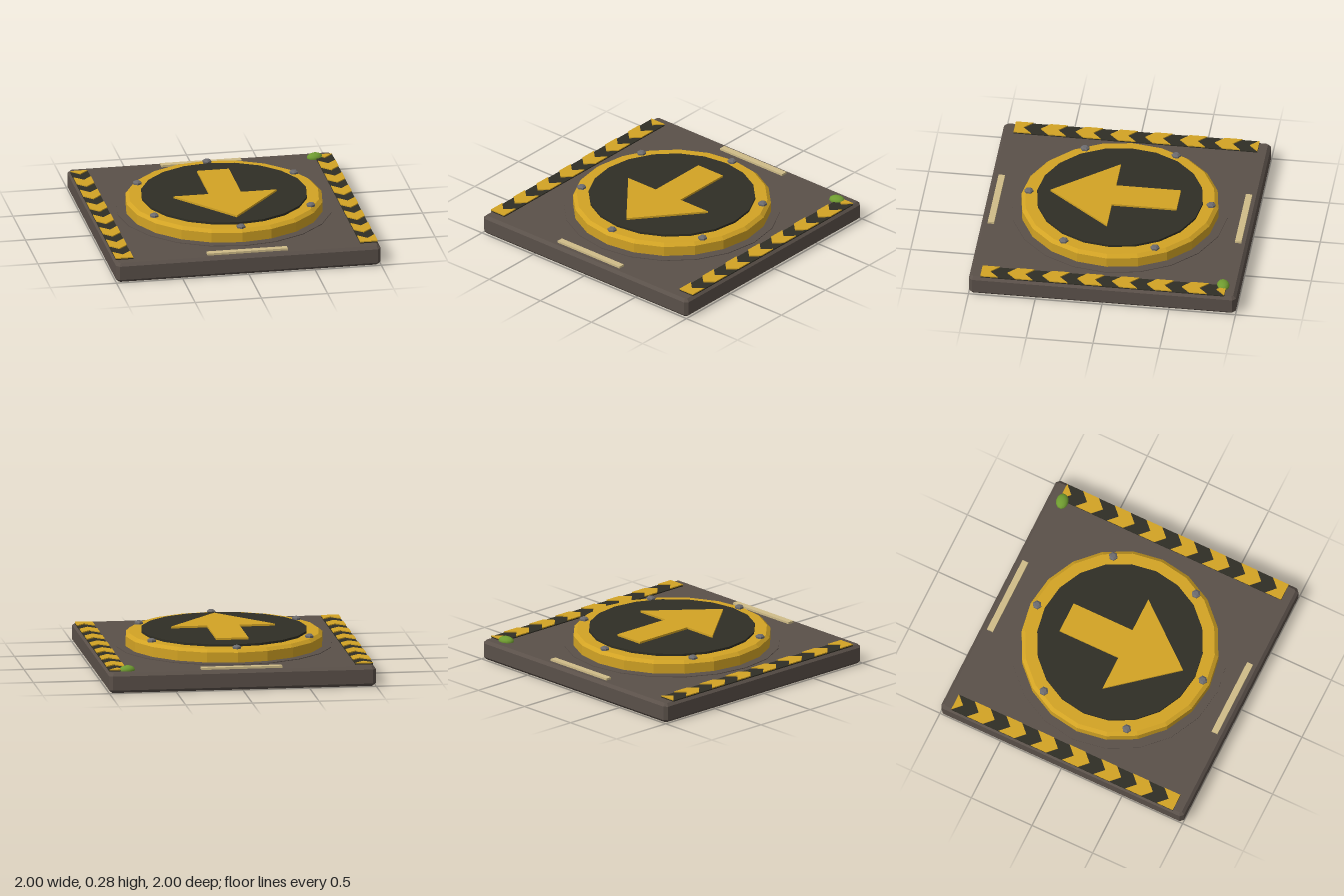
import * as THREE from 'three';

const paint = (name, color) => {
  const m = new THREE.MeshStandardMaterial({ color });
  m.name = name;
  return m;
};

export function createModel() {
  const stone = paint('brown stone', 0x5a5049);
  const yellow = paint('warning yellow', 0xd2a324);
  const dark = paint('dark rubber', 0x2f2e25);
  const steel = paint('bolt steel', 0x6c6b6e);
  const cream = paint('cream plate', 0xcfbc88);
  const green = paint('moss green', 0x6f9c30);

  const model = new THREE.Group();
  model.name = 'launchPad';

  const add = (name, geo, mat, x = 0, y = 0, z = 0) => {
    const mesh = new THREE.Mesh(geo, mat);
    mesh.name = name;
    mesh.position.set(x, y, z);
    model.add(mesh);
    return mesh;
  };
  // faceted normals
  const facet = (geo) => {
    const g = geo.index ? geo.toNonIndexed() : geo;
    g.computeVertexNormals();
    return g;
  };
  const disc = (rTop, rBottom, h, sides) => facet(new THREE.CylinderGeometry(rTop, rBottom, h, sides));
  // flat plate from [x, z] outline, bottom at y = 0
  const plate = (points, depth, bevel = 0) => {
    const shape = new THREE.Shape(points.map(([x, z]) => new THREE.Vector2(x, -z)));
    const geo = new THREE.ExtrudeGeometry(shape, {
      depth: depth - 2 * bevel, bevelEnabled: bevel > 0,
      bevelThickness: bevel, bevelSize: bevel, bevelSegments: 1,
    });
    return geo.rotateX(-Math.PI / 2).translate(0, bevel, 0);
  };

  // Base slab with chamfered edges and corners
  const b = 0.022, e = 1 - b, c = e - 0.012;
  add('baseSlab', plate([
    [-c, -e], [c, -e], [e, -c], [e, c], [c, e], [-c, e], [-e, c], [-e, -c],
  ], 0.15, b), stone);

  // Raised dais: low collar, yellow ring with chamfered rim, dark pad
  add('collar', disc(0.805, 0.805, 0.006, 20), stone, 0, 0.152, 0);
  add('ringWall', disc(0.737, 0.737, 0.08, 20), yellow, 0, 0.19, 0);
  add('ringRim', disc(0.71, 0.737, 0.023, 20), yellow, 0, 0.2415, 0);
  add('pad', disc(0.62, 0.62, 0.018, 20), dark, 0, 0.261, 0);

  // Arrow pointing to the front
  add('arrow', plate([
    [-0.12, -0.44], [0.12, -0.44], [0.12, 0.045], [0.39, 0.045],
    [0, 0.52], [-0.39, 0.045], [-0.12, 0.045],
  ], 0.015), yellow, 0, 0.27, 0);

  // Six hexagonal bolts on the rim
  for (let i = 0; i < 6; i++) {
    const a = (i * Math.PI) / 3;
    const x = 0.683 * Math.sin(a), z = 0.683 * Math.cos(a);
    add('bolt', disc(0.034, 0.034, 0.014, 6), steel, x, 0.259, z);
    add('boltHead', disc(0.018, 0.034, 0.011, 6), steel, x, 0.2715, z);
  }

  // Hazard strips: dark plate with yellow chevrons, closed by a flat end
  const L = 0.913, w = 0.066, step = (2 * L) / 14, tip = 0.065;
  for (const side of [-1, 1]) {
    const x = side * 0.923;
    add('hazardStrip', new THREE.BoxGeometry(2 * w, 0.008, 2 * L), dark, x, 0.154, 0);
    add('chevronStart', plate([[-w, -L], [w, -L], [0, -L + tip]], 0.008), yellow, x, 0.158, 0);
    for (let i = 0; i < 7; i++) {
      const z0 = -L + (2 * i + 1) * step, z1 = z0 + step;
      const zTip = Math.min(z1 + tip, L);
      add('chevron', plate([
        [-w, z0], [0, z0 + tip], [w, z0], [w, z1], [0, zTip], [-w, z1],
      ], 0.008), yellow, x, 0.158, 0);
    }
  }

  // Cream plates along the front and back edges
  for (const side of [-1, 1]) {
    add('edgePlate', new THREE.BoxGeometry(0.606, 0.016, 0.048), cream, 0, 0.158, side * 0.926);
  }

  // Moss tuft on the back left corner
  const moss = add('moss', new THREE.SphereGeometry(1, 12, 8), green, 0.852, 0.155, -0.888);
  moss.scale.set(0.062, 0.034, 0.047);
  moss.rotation.y = 0.25;

  return model;
}
